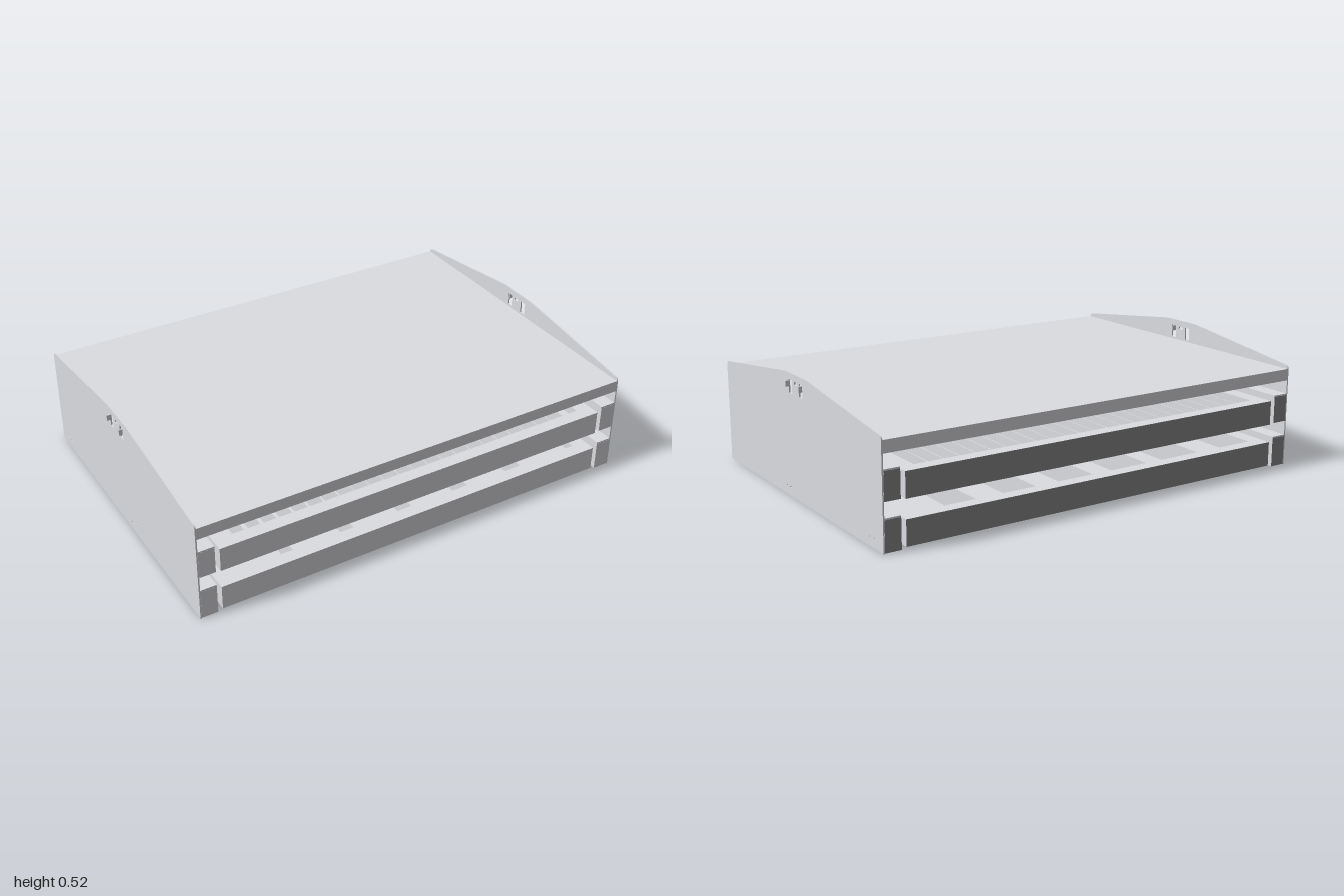
import * as THREE from 'three';

const T = 0.006; // sheet thickness

export function createModel() {
  const root = new THREE.Group();
  root.name = 'drawerUnit';
  const steel = new THREE.MeshStandardMaterial({ color: 0xdcdde1, side: THREE.DoubleSide });
  steel.name = 'light grey steel';
  const dark = new THREE.MeshStandardMaterial({ color: 0x8a8a8b, side: THREE.DoubleSide });
  dark.name = 'dark grey steel';
  // face order of a box: +x, -x, +y, -y, +z, -z
  const darkBelow = [steel, steel, steel, dark, steel, steel];
  const darkBehind = [steel, steel, steel, steel, steel, dark];

  // box given by its minimum and maximum corners
  const box = (parent, name, x0, x1, y0, y1, z0, z1, material = steel) => {
    const mesh = new THREE.Mesh(new THREE.BoxGeometry(x1 - x0, y1 - y0, z1 - z0), material);
    mesh.position.set((x0 + x1) / 2, (y0 + y1) / 2, (z0 + z1) / 2);
    mesh.name = name;
    parent.add(mesh);
    return mesh;
  };

  // side plate drawn with u = z, v = y
  const rectHole = (u0, u1, v0, v1) => {
    const p = new THREE.Path();
    p.moveTo(u0, v0);
    p.lineTo(u0, v1);
    p.lineTo(u1, v1);
    p.lineTo(u1, v0);
    p.closePath();
    return p;
  };
  const sidePlate = (s) => {
    const shape = new THREE.Shape();
    shape.moveTo(-0.7, 0);
    shape.lineTo(0.7, 0);
    shape.lineTo(0.7, 0.425);
    shape.quadraticCurveTo(0.7, 0.44, 0.683, 0.443);
    shape.lineTo(0.12, 0.515);
    shape.quadraticCurveTo(0.1, 0.518, 0.08, 0.518);
    shape.lineTo(-0.08, 0.518);
    shape.quadraticCurveTo(-0.1, 0.518, -0.12, 0.515);
    shape.lineTo(-0.683, 0.443);
    shape.quadraticCurveTo(-0.7, 0.44, -0.7, 0.425);
    shape.closePath();
    // handle slots, half-round hole and small fixing slits
    shape.holes.push(rectHole(-0.062, -0.032, 0.435, 0.49), rectHole(0.032, 0.062, 0.435, 0.49));
    const half = new THREE.Path();
    half.absarc(0, 0.477, 0.014, 0, Math.PI, false);
    half.closePath();
    shape.holes.push(half);
    for (const z of [-0.635, -0.6, 0.08, 0.115]) {
      shape.holes.push(rectHole(z - 0.007, z + 0.007, 0.036, 0.041));
    }
    const geo = new THREE.ExtrudeGeometry(shape, { depth: T, bevelEnabled: false, curveSegments: 8 });
    geo.rotateY(-Math.PI / 2); // z of the shape becomes -x, u becomes z
    const mesh = new THREE.Mesh(geo, steel);
    mesh.position.x = s > 0 ? 0.984 : -0.978;
    mesh.name = s > 0 ? 'leftSidePlate' : 'rightSidePlate';
    root.add(mesh);
  };

  for (const s of [1, -1]) {
    sidePlate(s);
    // bent hanging tabs
    for (const e of [1, -1]) {
      const tab = box(root, 'hangingTab', -0.01, 0.01, 0.462, 0.486, -0.002, 0.002);
      tab.position.x = s * 0.99;
      tab.position.z = e * 0.06;
    }
    // hollow drawer rails with end caps
    for (const [y0, y1] of [[0.003, 0.135], [0.197, 0.318]]) {
      const rail = new THREE.Group();
      rail.name = 'drawerRail';
      const a = s > 0 ? 0.91 : -0.978;
      const b = s > 0 ? 0.978 : -0.91;
      const inner = s > 0 ? a : b - T;
      box(rail, 'railFloor', a, b, y0, y0 + T, -0.7, 0.7);
      box(rail, 'railTop', a, b, y1 - T, y1, -0.7, 0.7);
      box(rail, 'railWall', inner, inner + T, y0 + T, y1 - T, -0.694, 0.694);
      box(rail, 'railFrontCap', a, b, y0, y1 - T, 0.694, 0.7005);
      box(rail, 'railBackCap', a, b, y0, y1 - T, -0.7005, -0.694, darkBehind);
      root.add(rail);
    }
  }

  // lid: top sheet with folded edges
  const lid = new THREE.Group();
  lid.name = 'lid';
  box(lid, 'lidTop', -0.978, 0.978, 0.42, 0.426, -0.7, 0.7);
  for (const e of [1, -1]) {
    const lip = box(lid, 'lidLip', -0.978, 0.978, 0.376, 0.42, -0.003, 0.003);
    lip.position.z = e * 0.697;
    const fold = box(lid, 'lidFold', -0.978, 0.978, 0.376, 0.381, -0.06, 0.06);
    fold.position.z = e * 0.634;
  }
  root.add(lid);

  // open trays with a folded rim and cross dividers
  const tray = (name, y0, y1, dividers) => {
    const g = new THREE.Group();
    g.name = name;
    box(g, 'trayFloor', -0.89, 0.89, y0, y0 + T, -0.694, 0.694, darkBelow);
    box(g, 'trayFront', -0.89, 0.89, y0, y1, 0.694, 0.7, darkBelow);
    box(g, 'trayBack', -0.89, 0.89, y0, y1, -0.7, -0.694, darkBehind);
    for (const e of [1, -1]) {
      const rim = box(g, 'trayEndRim', -0.89, 0.89, y1 - T, y1, -0.025, 0.025);
      rim.position.z = e * 0.669;
      const side = box(g, 'traySideWall', -0.003, 0.003, y0 + T, y1, -0.694, 0.694);
      side.position.x = e * 0.887;
      const sideRim = box(g, 'traySideRim', -0.03, 0.03, y1 - T, y1, -0.644, 0.644);
      sideRim.position.x = e * 0.854;
    }
    for (let i = 1; i <= dividers; i++) {
      const x = -0.824 + (1.648 * i) / (dividers + 1);
      box(g, 'divider', x - 0.002, x + 0.002, y0 + T, y1 - T, -0.69, 0.69);
    }
    root.add(g);
  };
  tray('lowerTray', 0.01, 0.115, 5);
  tray('upperTray', 0.193, 0.297, 23);

  return root;
}
